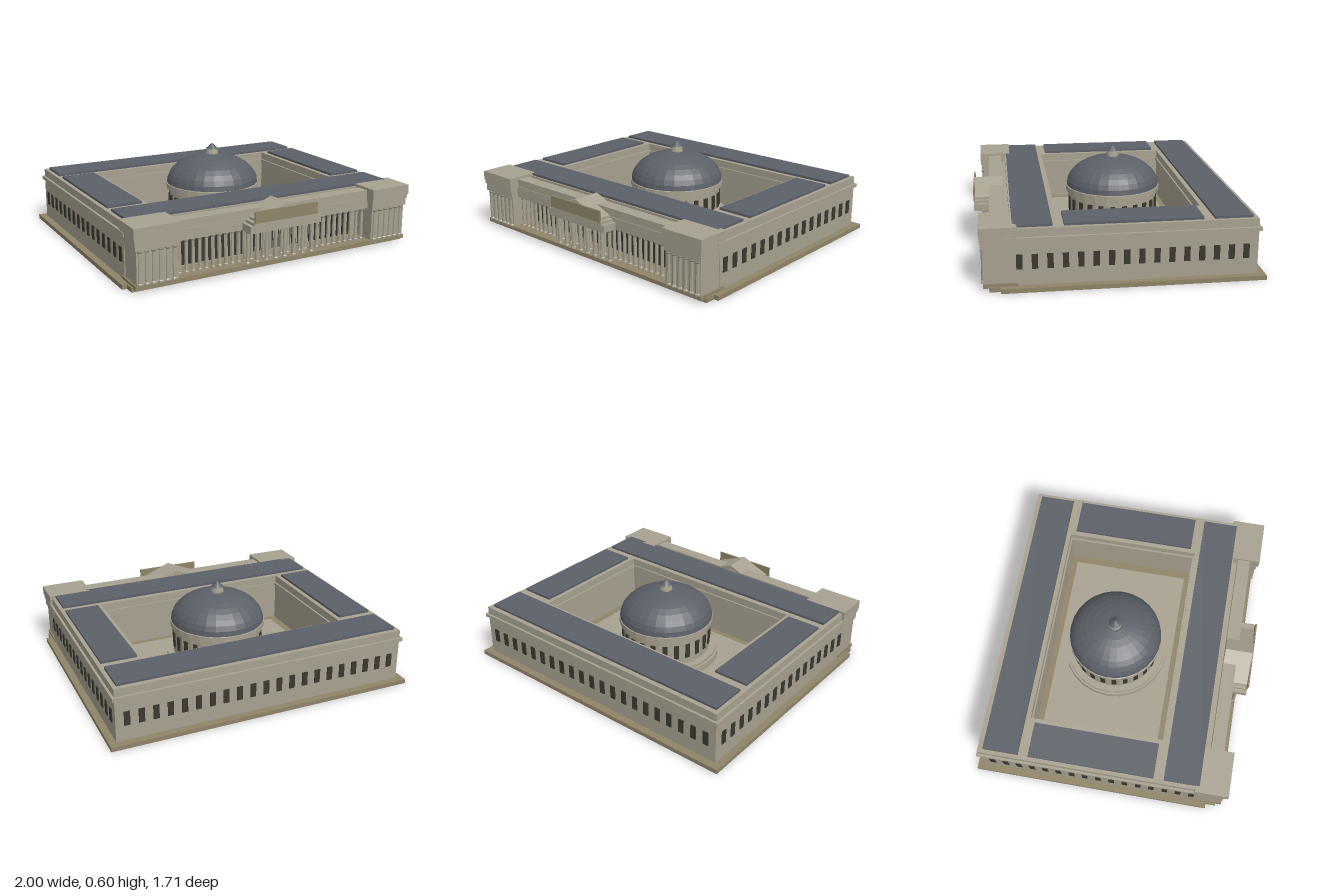
import * as THREE from 'three';

const mat = (color) => new THREE.MeshStandardMaterial({ color, flatShading: true });

export function createModel() {
  const model = new THREE.Group();
  const stone = mat(0xa8a190), brown = mat(0x8f8468), slate = mat(0x5c6068), dark = mat(0x3a382f);

  const add = (name, geo, material, parent = model) => {
    const m = new THREE.Mesh(geo, material);
    m.name = name;
    parent.add(m);
    return m;
  };
  const group = (name) => {
    const g = new THREE.Group();
    g.name = name;
    model.add(g);
    return g;
  };
  // Box given by its extents
  const box = (name, x0, x1, y0, y1, z0, z1, material, parent) => {
    const g = new THREE.BoxGeometry(x1 - x0, y1 - y0, z1 - z0);
    g.translate((x0 + x1) / 2, (y0 + y1) / 2, (z0 + z1) / 2);
    return add(name, g, material, parent);
  };
  // Rectangular frame around the courtyard
  const frame = (name, x, z0, z1, hx, hz0, hz1, y0, y1, material) => {
    const rect = (P, w, a, b) => new P([[-w, -b], [w, -b], [w, -a], [-w, -a]].map((p) => new THREE.Vector2(...p)));
    const s = rect(THREE.Shape, x, z0, z1);
    s.holes.push(rect(THREE.Path, hx, hz0, hz1));
    const g = new THREE.ExtrudeGeometry(s, { depth: y1 - y0, bevelEnabled: false });
    g.rotateX(-Math.PI / 2).translate(0, y0, 0);
    return add(name, g, material);
  };
  // Column with base and capital
  const column = (x, z, r, y0, y1, parent) => {
    const pts = [[r * 1.3, 0], [r * 1.3, 0.008], [r, 0.014], [r * 0.88, y1 - y0 - 0.016], [r * 1.3, y1 - y0 - 0.006], [r * 1.3, y1 - y0]];
    const g = new THREE.LatheGeometry(pts.map((p) => new THREE.Vector2(...p)), 8);
    add('column', g.translate(x, y0, z), stone, parent);
  };

  // Ground plate, front steps and podium
  box('basePlate', -1, 1, 0, 0.028, -0.857, 0.7, brown);
  box('frontStep', -0.97, 0.97, 0, 0.028, 0.69, 0.765, brown);
  box('podium', -0.96, 0.96, 0.02, 0.045, 0.6, 0.8, brown);

  // Four wings around the courtyard
  frame('wings', 0.955, -0.81, 0.635, 0.675, -0.52, 0.36, 0.02, 0.37, stone);
  frame('cornice', 0.97, -0.825, 0.665, 0.663, -0.51, 0.35, 0.298, 0.32, stone);
  frame('courtyardPlinth', 0.68, -0.525, 0.365, 0.6, -0.46, 0.29, 0.025, 0.04, brown);
  box('courtyardFloor', -0.62, 0.62, 0.025, 0.045, -0.48, 0.315, stone);

  // Slate roofs
  const roofs = group('roofs');
  box('backRoof', -0.93, 0.93, 0.36, 0.385, -0.78, -0.55, slate, roofs);
  box('frontRoof', -0.93, 0.93, 0.36, 0.385, 0.395, 0.625, slate, roofs);
  for (const s of [-1, 1]) {
    box('sideRoof', Math.min(s * 0.705, s * 0.93), Math.max(s * 0.705, s * 0.93), 0.36, 0.385, -0.485, 0.33, slate, roofs);
  }

  // Windows along the sides and the back
  const windows = group('windows');
  for (let i = 0; i < 16; i++) {
    const z = 0.59 - i * 0.0885;
    for (const x of [-0.955, 0.955]) box('sideWindow', x - 0.006, x + 0.006, 0.128, 0.217, z - 0.018, z + 0.018, dark, windows);
  }
  for (let i = -10; i <= 10; i++) {
    box('backWindow', i * 0.0885 - 0.018, i * 0.0885 + 0.018, 0.128, 0.217, -0.817, -0.805, dark, windows);
  }

  // Colonnade
  const colonnade = group('colonnade');
  box('entablature', -0.69, 0.69, 0.25, 0.32, 0.63, 0.755, stone, colonnade);
  box('parapet', -0.69, 0.69, 0.32, 0.37, 0.665, 0.75, stone, colonnade);
  for (let i = 0; i < 31; i++) {
    const x = (i - 15) * 0.0437;
    column(x, 0.735, 0.0115, 0.045, 0.25, colonnade);
    if (i < 30) box('tallWindow', x + 0.006, x + 0.038, 0.055, 0.24, 0.63, 0.642, dark, colonnade);
  }

  // Corner pavilions with attached columns
  for (const s of [-1, 1]) {
    const pavilion = group(s > 0 ? 'leftPavilion' : 'rightPavilion');
    const part = (name, a, b, y0, y1, z0, z1) => box(name, Math.min(s * a, s * b), Math.max(s * a, s * b), y0, y1, z0, z1, stone, pavilion);
    part('wall', 0.69, 0.95, 0.03, 0.25, 0.6, 0.795);
    part('entablature', 0.685, 0.96, 0.25, 0.3, 0.6, 0.805);
    part('cornice', 0.68, 0.965, 0.3, 0.325, 0.6, 0.812);
    part('attic', 0.68, 0.97, 0.325, 0.385, 0.6, 0.815);
    for (let i = 0; i < 6; i++) column(s * (0.715 + i * 0.0425), 0.792, 0.015, 0.045, 0.25, pavilion);
  }

  // Central porch with gable and attic panel
  const porch = group('porch');
  box('entablature', -0.25, 0.25, 0.25, 0.295, 0.74, 0.85, stone, porch);
  box('cornice', -0.225, 0.225, 0.295, 0.312, 0.74, 0.85, stone, porch);
  box('atticPanel', -0.22, 0.22, 0.31, 0.383, 0.843, 0.853, brown, porch);
  const tri = new THREE.Shape([[-0.2, 0.325], [0.2, 0.325], [0, 0.406]].map((p) => new THREE.Vector2(...p)));
  const gable = new THREE.ExtrudeGeometry(tri, { depth: 0.18, bevelEnabled: false });
  add('gable', gable.translate(0, 0, 0.666), stone, porch);
  box('gableBase', -0.2, 0.2, 0.31, 0.326, 0.74, 0.845, stone, porch);
  for (let i = 0; i < 8; i++) column((i - 3.5) * 0.0655, 0.785, 0.0125, 0.045, 0.25, porch);

  // Domed rotunda in the courtyard
  const rotunda = group('rotunda');
  rotunda.position.z = -0.08;
  const lathe = (name, pts, n, material) =>
    add(name, new THREE.LatheGeometry(pts.map((p) => new THREE.Vector2(...p)), n), material, rotunda);
  lathe('drum', [[0.355, 0.04], [0.355, 0.09], [0.34, 0.09], [0.34, 0.11], [0.295, 0.11], [0.295, 0.295],
    [0.315, 0.295], [0.315, 0.33], [0.3, 0.335]], 24, stone);
  for (let i = 0; i < 24; i++) {
    const g = new THREE.BoxGeometry(0.032, 0.1, 0.012).translate(0, 0.205, 0.294);
    add('drumWindow', g.rotateY(((i + 0.5) * Math.PI) / 12), dark, rotunda);
  }
  const dome = new THREE.SphereGeometry(0.31, 28, 9, 0, Math.PI * 2, 0, Math.PI / 2);
  add('dome', dome.scale(1, 0.62, 1).translate(0, 0.333, 0), slate, rotunda);
  lathe('lantern', [[0.042, 0.515], [0.042, 0.53], [0.036, 0.565], [0, 0.565]], 12, stone);
  lathe('lanternRoof', [[0, 0.56], [0.042, 0.56], [0, 0.598]], 12, slate);

  return model;
}
